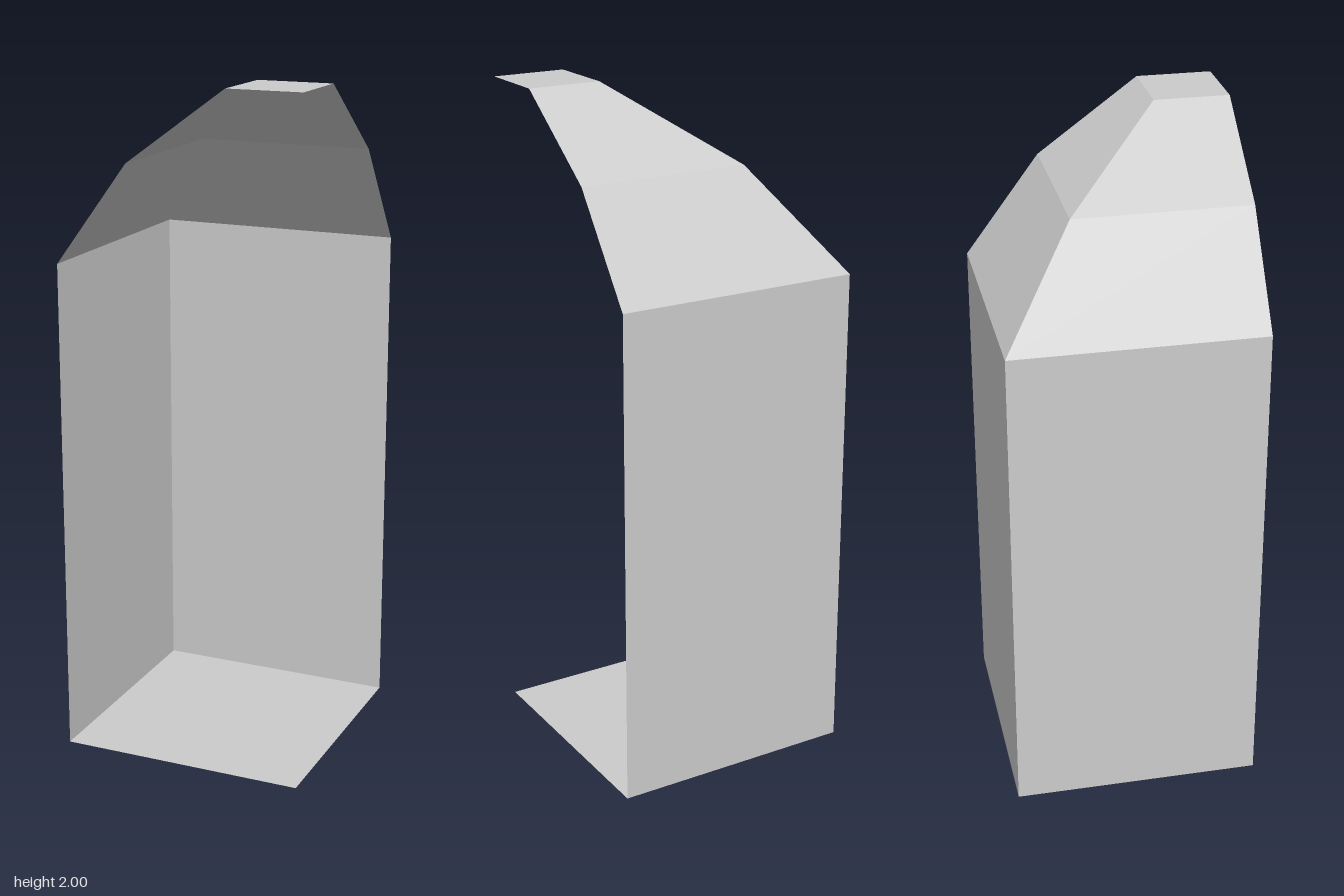
import * as THREE from 'three';

const H = 0.37; // half width of the square plan

// Wall profile from the ground up: [inset from the outer corner, height]
const PROFILE = [[0, 0], [0, 1.485], [0.22, 1.783], [0.518, 2]];

// Flat four-cornered panel, corners anticlockwise from outside
function panel(name, corners, material) {
  const geometry = new THREE.BufferGeometry();
  geometry.setAttribute('position', new THREE.Float32BufferAttribute(corners.flat(), 3));
  geometry.setIndex([0, 1, 2, 0, 2, 3]);
  geometry.computeVertexNormals();
  const mesh = new THREE.Mesh(geometry, material);
  mesh.name = name;
  return mesh;
}

export function createModel() {
  const model = new THREE.Group();
  model.name = 'openCornerTower';
  const grey = new THREE.MeshStandardMaterial({ name: 'lightGrey', color: 0xcccccc, side: THREE.DoubleSide });

  // Back and side panels, mitred along the shared corner
  const tiers = ['Wall', 'LowerRoof', 'UpperRoof'];
  tiers.forEach((tier, i) => {
    const [inset0, y0] = PROFILE[i];
    const [inset1, y1] = PROFILE[i + 1];
    const a = inset0 - H;
    const b = inset1 - H;
    model.add(panel('back' + tier, [[H, y0, a], [a, y0, a], [b, y1, b], [H, y1, b]], grey));
    model.add(panel('side' + tier, [[a, y0, a], [a, y0, H], [b, y1, H], [b, y1, b]], grey));
  });

  // Floor faces down, the small top cap faces up
  const c = PROFILE[3][0] - H;
  model.add(panel('floor', [[-H, 0, -H], [H, 0, -H], [H, 0, H], [-H, 0, H]], grey));
  model.add(panel('topCap', [[c, 2, H], [H, 2, H], [H, 2, c], [c, 2, c]], grey));
  return model;
}
